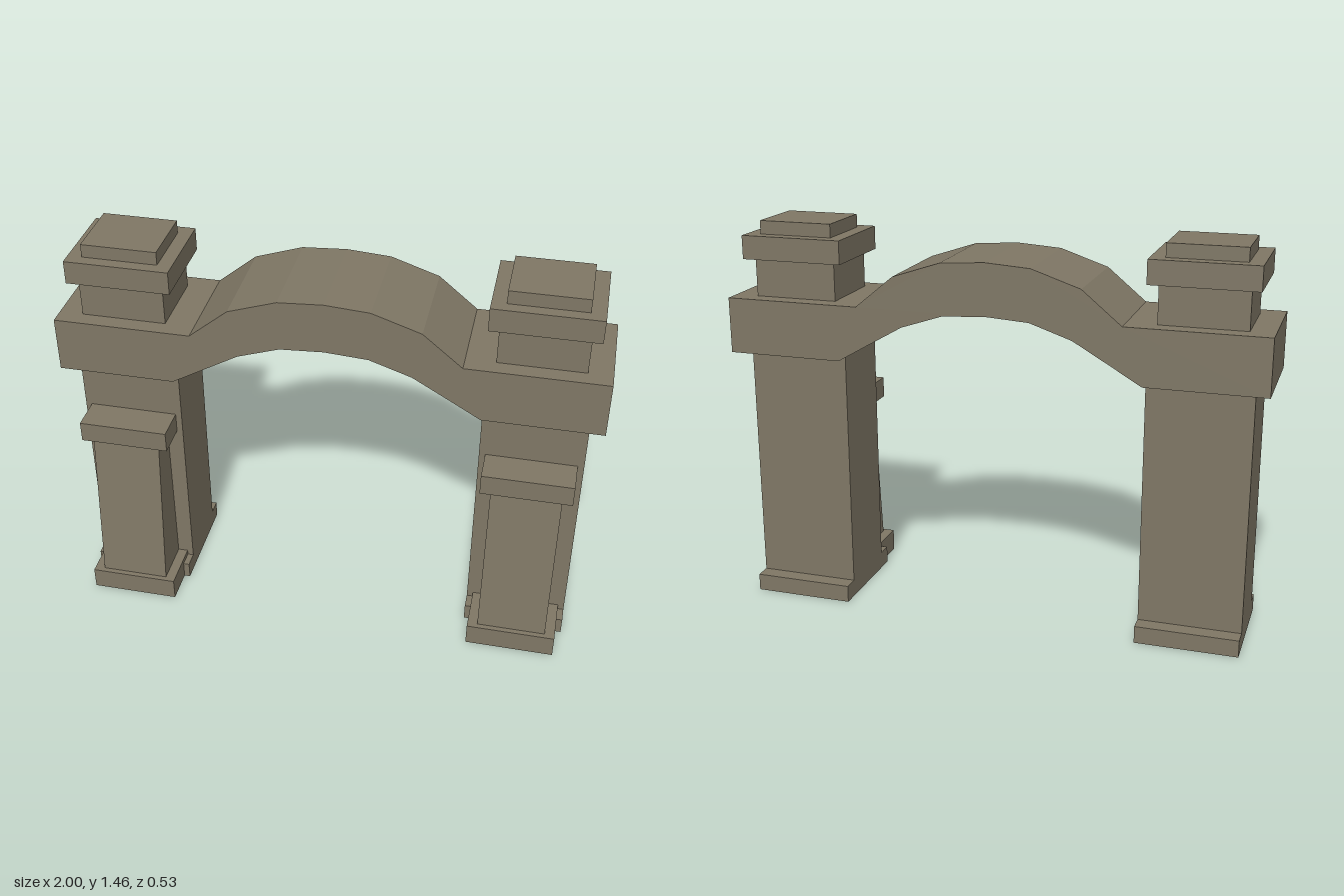
import * as THREE from 'three';

const stone = new THREE.MeshStandardMaterial({ color: 0x7f7765, flatShading: true, side: THREE.DoubleSide });
stone.name = 'stone';

// Hollow block lofted through rectangles [y, x0, x1, z0, z1], closed at the top, open below
function shell(name, sections) {
  const pos = [];
  const rings = sections.map(([y, x0, x1, z0, z1]) => [
    [x0, y, z1], [x1, y, z1], [x1, y, z0], [x0, y, z0],
  ]);
  const quad = (a, b, c, d) => pos.push(...a, ...b, ...c, ...a, ...c, ...d);
  for (let i = 0; i < rings.length - 1; i++) {
    const lo = rings[i], hi = rings[i + 1];
    for (let k = 0; k < 4; k++) {
      const n = (k + 1) % 4;
      quad(lo[k], lo[n], hi[n], hi[k]);
    }
  }
  quad(...rings[rings.length - 1]);
  const geo = new THREE.BufferGeometry();
  geo.setAttribute('position', new THREE.Float32BufferAttribute(pos, 3));
  geo.computeVertexNormals();
  const mesh = new THREE.Mesh(geo, stone);
  mesh.name = name;
  return mesh;
}

// One gate pillar centred on x = 0
function createPillar(name) {
  const pillar = new THREE.Group();
  pillar.name = name;

  // Shaft on a plinth that steps out to front and back
  pillar.add(shell('pillarShaft', [
    [0, -0.19, 0.19, -0.265, 0.135],
    [0.065, -0.19, 0.19, -0.265, 0.135],
    [0.065, -0.19, 0.19, -0.205, 0.075],
    [0.97, -0.19, 0.19, -0.205, 0.075],
  ]));

  // Sloping buttress with base and cap
  pillar.add(shell('buttress', [
    [0, -0.167, 0.167, 0.075, 0.265],
    [0.085, -0.167, 0.167, 0.075, 0.265],
    [0.085, -0.129, 0.129, 0.075, 0.245],
    [0.697, -0.129, 0.129, 0.075, 0.185],
    [0.697, -0.167, 0.167, 0.075, 0.205],
    [0.776, -0.167, 0.167, 0.075, 0.205],
  ]));

  // Stepped finial above the lintel
  pillar.add(shell('finial', [
    [1.178, -0.157, 0.157, -0.202, 0.073],
    [1.32, -0.157, 0.157, -0.202, 0.073],
    [1.32, -0.193, 0.193, -0.232, 0.103],
    [1.408, -0.193, 0.193, -0.232, 0.103],
    [1.408, -0.14, 0.14, -0.185, 0.058],
    [1.458, -0.14, 0.14, -0.185, 0.058],
  ]));
  return pillar;
}

// Arched lintel, outline mirrored about x = 0
function createArch() {
  const top = [[1, 1.178], [0.49, 1.178], [0.345, 1.298], [0.165, 1.358], [0, 1.369]];
  const under = [[0, 1.177], [0.16, 1.167], [0.315, 1.115], [0.44, 1.043], [0.565, 0.97], [1, 0.97]];
  const right = [...top, ...under];
  const mirror = (pts) => pts.filter((p) => p[0] > 0).map(([x, y]) => [-x, y]).reverse();
  const outline = [...top, ...mirror(top), ...mirror(under), ...under];
  const shape = new THREE.Shape(outline.map(([x, y]) => new THREE.Vector2(x, y)));
  const geo = new THREE.ExtrudeGeometry(shape, { depth: 0.4, bevelEnabled: false });
  geo.translate(0, 0, -0.265);
  const mesh = new THREE.Mesh(geo, stone);
  mesh.name = 'arch';
  return mesh;
}

export function createModel() {
  const model = new THREE.Group();
  model.name = 'stoneGateway';
  for (const [name, x] of [['leftPillar', 0.755], ['rightPillar', -0.755]]) {
    const pillar = createPillar(name);
    pillar.position.x = x;
    model.add(pillar);
  }
  model.add(createArch());
  return model;
}
